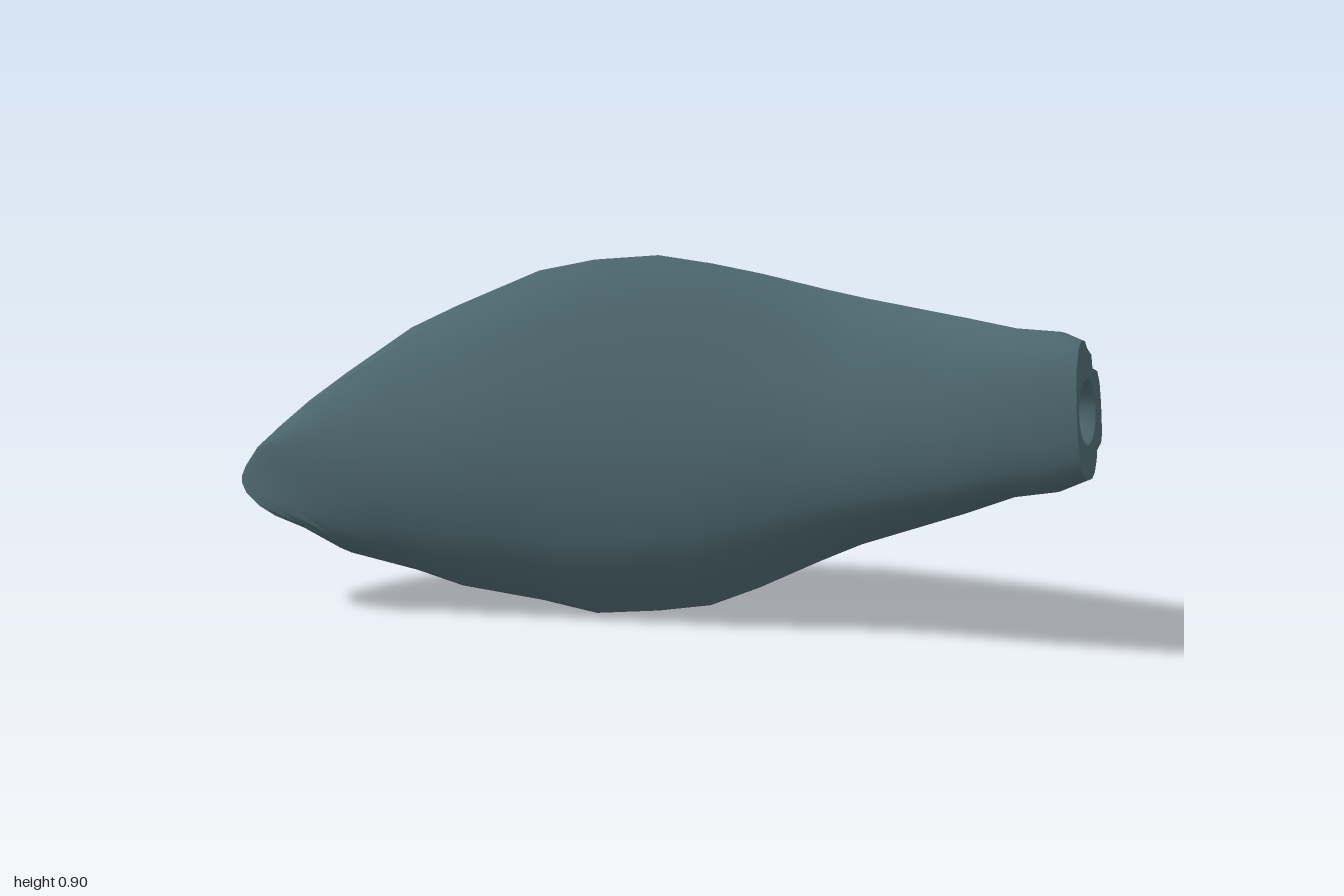
import * as THREE from 'three';
import { toCreasedNormals } from 'three/addons/utils/BufferGeometryUtils.js';

// Outline along the length: x, top y, bottom y, back z, front z
const stations = [
  [-1, .34, .32, .335, .365],
  [-.97, .375, .3, .22, .385],
  [-.92, .435, .27, .1, .395],
  [-.88, .478, .245, .04, .393],
  [-.82, .54, .21, -.03, .385],
  [-.75, .605, .15, -.095, .365],
  [-.62, .715, .1, -.175, .315],
  [-.52, .77, .06, -.22, .28],
  [-.33, .86, .03, -.285, .2],
  [-.2, .89, .004, -.32, .15],
  [-.05, .905, .02, -.355, .095],
  [.08, .89, .045, -.37, .055],
  [.2, .87, .1, -.38, .015],
  [.35, .84, .18, -.39, -.03],
  [.45, .825, .23, -.392, -.045],
  [.7, .797, .33, -.387, -.065],
  [.82, .783, .385, -.36, -.08],
  [.92, .782, .407, -.357, -.097],
];

// Cross-section: crest -> riser and shelf -> rib -> shelf and riser -> keel -> front.
// Height and depth (0 back, 1 front) as fractions: first in the body, then at the neck
const section = [
  [1, .64, 1, .66], [.965, .52, .98, .53], [.91, .43, .92, .45], [.84, .28, .86, .3],
  [.765, .24, .76, .28], [.735, .1, .72, .09], [.65, .02, .63, .02], [.49, 0, .48, 0],
  [.41, .03, .26, .02], [.325, .1, .2, .08], [.275, .21, .17, .26], [.2, .3, .1, .3],
  [.1, .42, .03, .4], [.02, .52, 0, .52], [0, .64, .01, .62], [.05, .74, .03, .76],
  [.1, .82, .07, .85], [.16, .91, .12, .92], [.24, .96, .2, .97], [.35, .99, .35, 1],
  [.5, 1, .5, 1], [.68, .91, .68, .97], [.85, .79, .84, .9], [.96, .7, .96, .78],
];

const { clamp, lerp, smoothstep } = THREE.MathUtils;

function bodyRing([x, top, bottom, back, front]) {
  const neck = smoothstep(x, .2, .9);
  // Crest and keel swing forward as the pod curves towards its tip
  const swing = 2 * clamp((-.45 - x) / .47, 0, 1) ** 2;
  return section.map(([u, v, un, vn]) => {
    const depth = lerp(v, vn, neck);
    return new THREE.Vector3(
      x,
      lerp(bottom, top, lerp(u, un, neck)),
      lerp(back, front, Math.min(1, depth + swing * depth * depth * (1 - depth))));
  });
}

// Slanted plane of the cut end
const endX = (y, z) => 1.003 - .03 * (y - .45) / .315 - .02 * (-.12 - z) / .22;

function rimRing() {
  return section.map(([, , u, v]) => {
    const y = lerp(.445, .765, u), z = lerp(-.34, -.12, v);
    return new THREE.Vector3(endX(y, z), y, z);
  });
}

// Add a point halfway along every side
const subdivide = (ring) => ring.flatMap((p, i) =>
  [p, p.clone().lerp(ring[(i + 1) % ring.length], .5)]);

// Round ring in the end plane, sunk by depth
function socketRing(rim, radius, depth) {
  return rim.map((p) => {
    const a = Math.atan2(p.y - .6, p.z + .215);
    const y = .6 + radius * Math.sin(a), z = -.215 + radius * Math.cos(a);
    return new THREE.Vector3(endX(y, z) - depth, y, z);
  });
}

// Skin a row of rings, optionally closing the first or last one
function loft(rings, closeStart, closeEnd) {
  const n = rings[0].length;
  const positions = rings.flat().flatMap((p) => p.toArray());
  const index = [];
  for (let j = 0; j < rings.length - 1; j++) {
    for (let i = 0; i < n; i++) {
      const k = (i + 1) % n;
      const a = j * n + i, b = j * n + k, c = a + n, d = b + n;
      index.push(a, c, b, b, c, d);
    }
  }
  const close = (ring, start, flip) => {
    const centre = new THREE.Vector3();
    ring.forEach((p) => centre.addScaledVector(p, 1 / n));
    const m = positions.length / 3;
    positions.push(...centre.toArray());
    for (let i = 0; i < n; i++) {
      const a = start + i, b = start + (i + 1) % n;
      index.push(m, flip ? a : b, flip ? b : a);
    }
  };
  if (closeStart) close(rings[0], 0, true);
  if (closeEnd) close(rings[rings.length - 1], (rings.length - 1) * n, false);
  const geometry = new THREE.BufferGeometry();
  geometry.setAttribute('position', new THREE.Float32BufferAttribute(positions, 3));
  geometry.setIndex(index);
  return toCreasedNormals(geometry, .6);
}

export function createModel() {
  const group = new THREE.Group();
  group.name = 'ribbedPod';
  const slate = new THREE.MeshStandardMaterial({ color: 0x4e6870 });
  slate.name = 'slate teal';

  const add = (name, geometry) => {
    const mesh = new THREE.Mesh(geometry, slate);
    mesh.name = name;
    group.add(mesh);
  };

  const rim = rimRing();
  // Curved pod with a stepped rib along its back
  add('podBody', loft([...stations.map(bodyRing), rim], true, false));

  // Cut end with a round tapered socket
  const fineRim = subdivide(rim);
  add('endSocket', loft([
    fineRim,
    socketRing(fineRim, .074, 0),
    socketRing(fineRim, .066, .012),
    socketRing(fineRim, .037, .07),
  ], false, true));

  return group;
}
